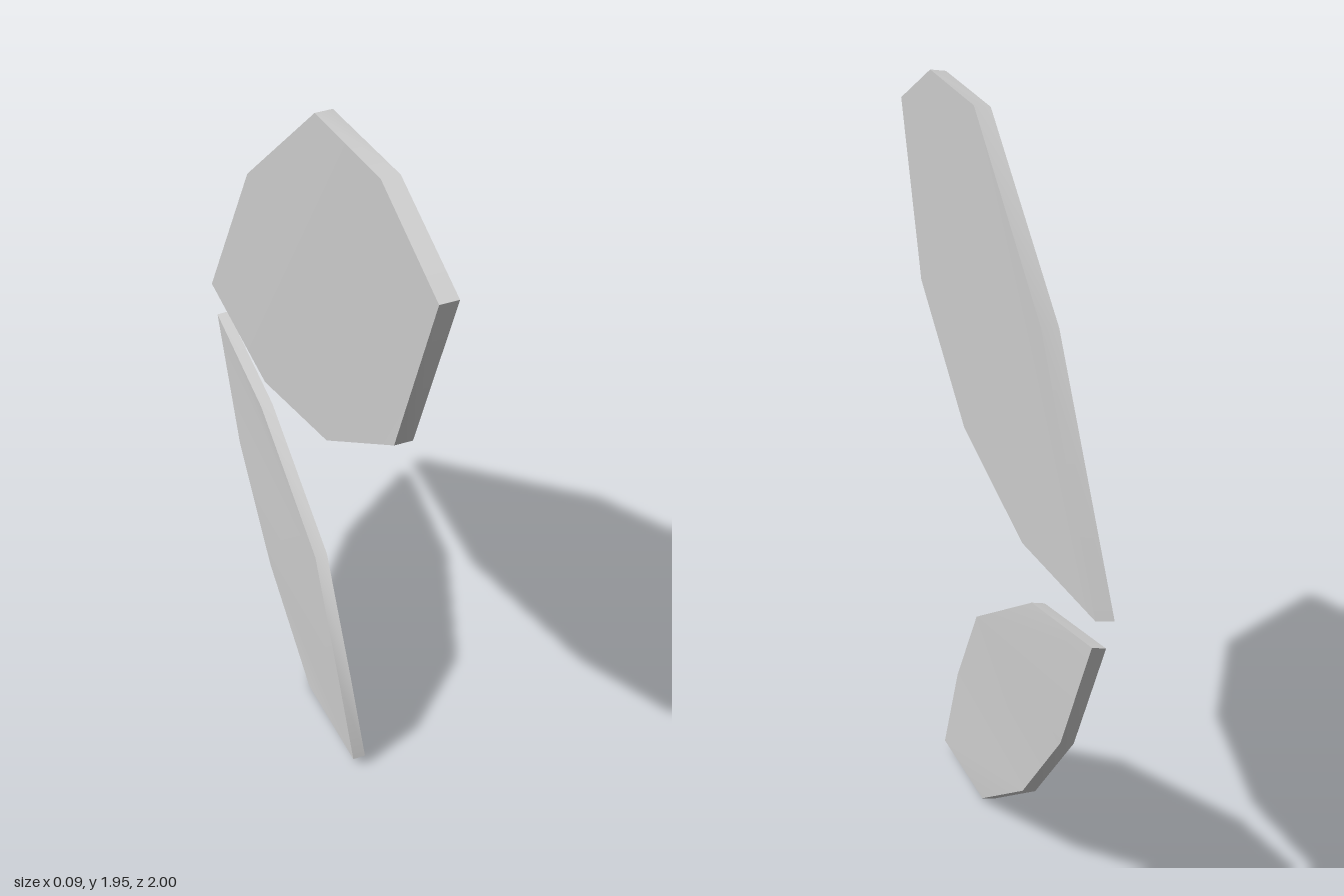
import * as THREE from 'three';
import { toCreasedNormals } from 'three/addons/utils/BufferGeometryUtils.js';

// Thin wing blade from an outline of [z, y, x of the outer face], clockwise seen from +x.
// Corners i and n-1-i face each other across the blade, so each cap is a ladder of quads.
function wingGeometry(outline, thickness) {
  const n = outline.length;
  const outer = outline.map(([z, y, x]) => [x, y, z]);
  const inner = outline.map(([z, y, x]) => [x - thickness, y - 0.005, z]);
  const pos = [];
  const quad = (a, b, c, d) => pos.push(...a, ...b, ...c, ...a, ...c, ...d);

  // two faces
  for (let i = 0; i < n / 2 - 1; i++) {
    const j = n - 1 - i;
    quad(outer[i], outer[j], outer[j - 1], outer[i + 1]);
    quad(inner[i], inner[i + 1], inner[j - 1], inner[j]);
  }
  // rim
  for (let i = 0; i < n; i++) {
    const k = (i + 1) % n;
    quad(outer[i], outer[k], inner[k], inner[i]);
  }
  const geo = new THREE.BufferGeometry();
  geo.setAttribute('position', new THREE.Float32BufferAttribute(pos, 3));
  return toCreasedNormals(geo, 0.9);
}

export function createModel() {
  const group = new THREE.Group();
  group.name = 'wingPair';
  const material = new THREE.MeshStandardMaterial({ color: 0xcccccc });

  const addWing = (name, outline, thickness) => {
    const mesh = new THREE.Mesh(wingGeometry(outline, thickness), material);
    mesh.name = name;
    group.add(mesh);
  };

  // large, nearly flat upper wing
  addWing('upperWing', [
    [1.0, 1.84, 0.002], [0.62, 1.955, 0.0], [0.12, 1.905, 0.0], [-0.54, 1.45, 0.005],
    [-1.0, 0.87, 0.006], [-0.39, 0.862, 0.006], [0.19, 1.015, 0.011], [0.73, 1.33, 0.006],
  ], 0.046);

  // smaller lower wing, curling outwards at the tip
  addWing('lowerWing', [
    [0.32, 0.027, 0.04], [0.25, 0.26, 0.018], [0.02, 0.52, 0.02], [-0.47, 0.73, 0.003],
    [-0.95, 0.787, -0.003], [-0.72, 0.455, 0.0], [-0.42, 0.195, 0.01], [-0.05, 0.007, 0.022],
  ], 0.034);

  return group;
}
